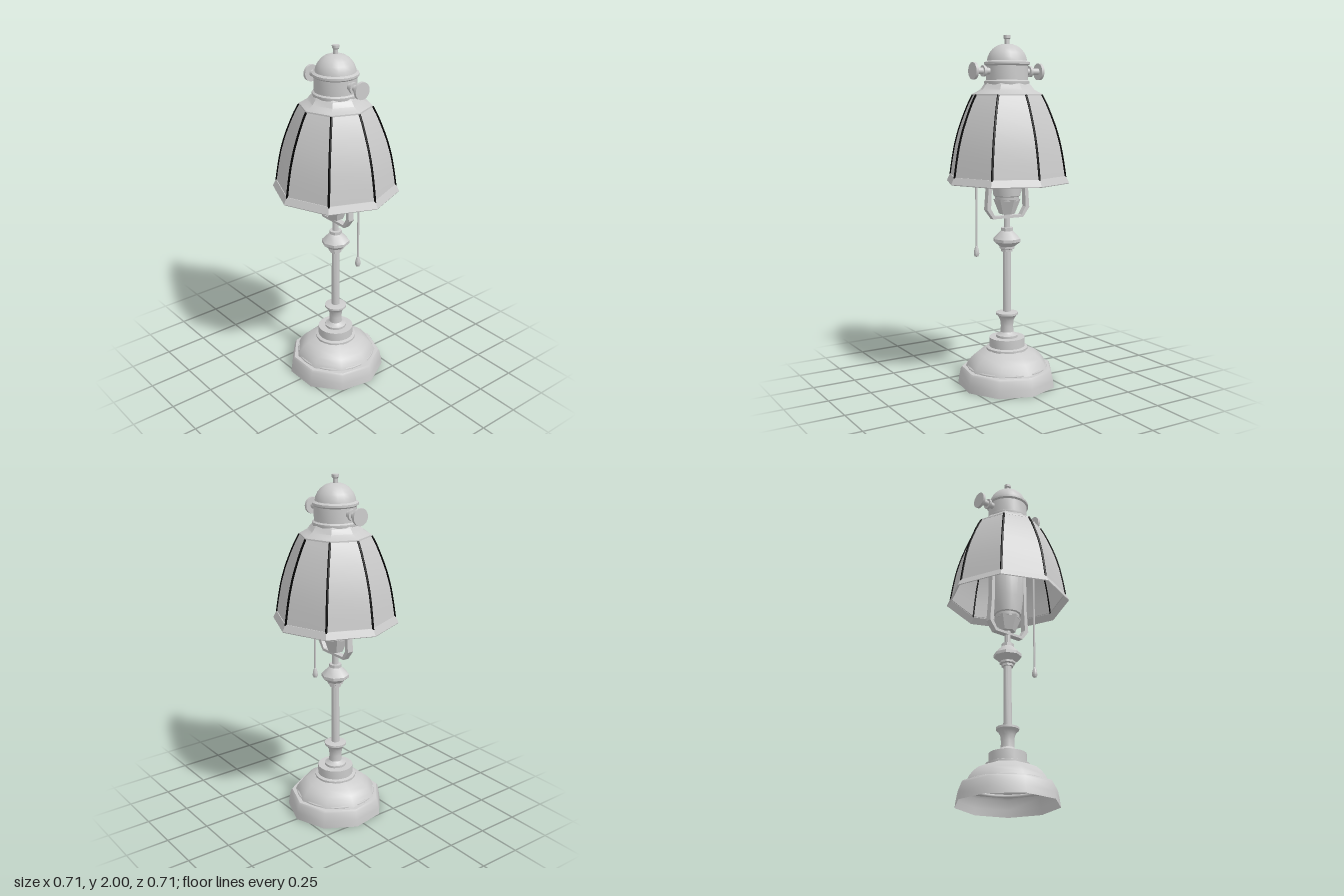
import * as THREE from 'three';
import { toCreasedNormals } from 'three/addons/utils/BufferGeometryUtils.js';

export function createModel() {
  const lamp = new THREE.Group();
  const grey = new THREE.MeshStandardMaterial({ color: 0xcccccc });
  const thin = new THREE.MeshStandardMaterial({ color: 0xcccccc, side: THREE.DoubleSide });
  const black = new THREE.MeshStandardMaterial({ color: 0x000000 });

  const add = (name, geometry, material = grey, parent = lamp) => {
    const mesh = new THREE.Mesh(geometry, material);
    mesh.name = name;
    parent.add(mesh);
    return mesh;
  };
  // Turned part from [radius, height] pairs, listed bottom to top
  const turned = (name, profile, sides, material = grey, start = 0, crease = 0.6) =>
    add(name, toCreasedNormals(new THREE.LatheGeometry(
      profile.map(([r, y]) => new THREE.Vector2(r, y)), sides, start), crease), material);

  // Hollow nine-sided foot, with round trim and collar
  turned('base', [[0.285, 0], [0.28, 0.04], [0.27, 0.09], [0.262, 0.102], [0.24, 0.104],
    [0.228, 0.13], [0.205, 0.16], [0.172, 0.187], [0.12, 0.21]], 9, thin, Math.PI, 0.75);
  const trim = add('baseTrim', new THREE.TorusGeometry(0.224, 0.008, 6, 32));
  trim.rotation.x = Math.PI / 2;
  trim.position.y = 0.106;
  turned('baseCollar', [[0.1, 0.2], [0.12, 0.206], [0.12, 0.22], [0.103, 0.226],
    [0.103, 0.278], [0, 0.28]], 20);

  // Column with waisted foot and knob
  turned('columnFoot', [[0.063, 0.278], [0.063, 0.292], [0.05, 0.297], [0.038, 0.31], [0.036, 0.345],
    [0.04, 0.38], [0.052, 0.402], [0.064, 0.412], [0.064, 0.424], [0.03, 0.43], [0, 0.43]], 16);
  turned('columnRod', [[0.024, 0.42], [0.022, 0.79]], 12);
  turned('columnKnob', [[0, 0.782], [0.034, 0.782], [0.034, 0.795], [0.045, 0.8], [0.045, 0.812],
    [0.08, 0.84], [0.08, 0.857], [0.045, 0.893], [0.036, 0.902], [0.036, 0.92], [0, 0.922]], 8);
  turned('neck', [[0.018, 0.91], [0.018, 1.0]], 10);

  // Fork carrying the shade
  const fork = new THREE.Shape();
  const outer = [[0.128, 1.68], [0.128, 1.18], [0.14, 1.03], [0.098, 0.975]];
  const inner = [[0.088, 0.99], [0.115, 1.035], [0.108, 1.18], [0.108, 1.68]];
  const half = [...outer.slice().reverse(), ...inner.slice().reverse()];
  fork.setFromPoints([...half, ...half.slice().reverse().map(([x, y]) => [-x, y])]
    .map(([x, y]) => new THREE.Vector2(x, y)));
  add('fork', new THREE.ExtrudeGeometry(fork, { depth: 0.036, bevelEnabled: false }).translate(0, 0, -0.018));

  // Socket on a faceted holder, with a bulb above
  const holder = add('socketHolder', new THREE.CylinderGeometry(0.078, 0.045, 0.085, 6).toNonIndexed());
  holder.geometry.computeVertexNormals();
  holder.position.y = 1.042;
  turned('socket', [[0, 1.075], [0.068, 1.075], [0.07, 1.1], [0.078, 1.105], [0.09, 1.2],
    [0.096, 1.36], [0.085, 1.38], [0, 1.38]], 16);
  turned('bulb', [[0.04, 1.37], [0.05, 1.42], [0.075, 1.48], [0.078, 1.53], [0.055, 1.58], [0, 1.6]], 16);

  // Eight-sided shade, its flared rim and dark corner strips
  const shadeProfile = [[0.335, 1.215], [0.322, 1.3], [0.305, 1.39], [0.28, 1.48],
    [0.25, 1.56], [0.222, 1.625], [0.198, 1.67]];
  turned('shade', shadeProfile, 8, thin);
  turned('shadeRim', [[0.329, 1.215], [0.354, 1.18], [0.356, 1.184], [0.338, 1.222], [0.329, 1.222]], 8, thin);
  const strips = new THREE.Group();
  strips.name = 'shadeStrips';
  lamp.add(strips);
  const stripPath = new THREE.CatmullRomCurve3(shadeProfile.map(([r, y]) => new THREE.Vector3(0, y, r)));
  const stripShape = new THREE.TubeGeometry(stripPath, 18, 0.0065, 6);
  for (let i = 0; i < 8; i++) add('shadeStrip', stripShape, black, strips).rotation.y = i * Math.PI / 4;

  // Eight-sided flare and round cap with finial
  turned('capFlare', [[0.185, 1.664], [0.2, 1.668], [0.199, 1.676], [0.183, 1.684],
    [0.155, 1.7], [0.136, 1.725], [0.12, 1.74]], 8, thin);
  turned('cap', [[0.118, 1.7], [0.127, 1.735], [0.127, 1.745], [0.117, 1.752], [0.117, 1.83],
    [0.127, 1.838], [0.127, 1.85], [0.112, 1.858], [0.108, 1.878], [0.097, 1.902],
    [0.079, 1.924], [0.056, 1.94], [0.03, 1.949], [0, 1.951]], 18);
  turned('finial', [[0.013, 1.945], [0.013, 1.975], [0.02, 1.982], [0.02, 1.997], [0, 2]], 12);

  // Side thumbscrews: [radius, inner x, outer x]
  for (const side of [1, -1]) {
    const screw = new THREE.Group();
    screw.name = side > 0 ? 'leftScrew' : 'rightScrew';
    for (const [name, r, from, to] of [['screwShaft', 0.018, 0.1, 0.21],
      ['screwNut', 0.031, 0.143, 0.158], ['screwHead', 0.047, 0.205, 0.221]]) {
      const part = add(name, new THREE.CylinderGeometry(r, r, to - from, 20), grey, screw);
      part.rotation.z = Math.PI / 2;
      part.position.set(side * (from + to) / 2, 1.8, 0);
    }
    lamp.add(screw);
  }

  // Pull cord with a drop-shaped weight
  const cord = add('pullCord', new THREE.CylinderGeometry(0.006, 0.006, 0.72, 8));
  cord.position.set(0.2, 1.18, 0);
  turned('pullWeight', [[0, 0.768], [0.011, 0.772], [0.016, 0.785], [0.014, 0.805], [0.007, 0.83], [0, 0.835]], 10)
    .position.x = 0.2;

  return lamp;
}
